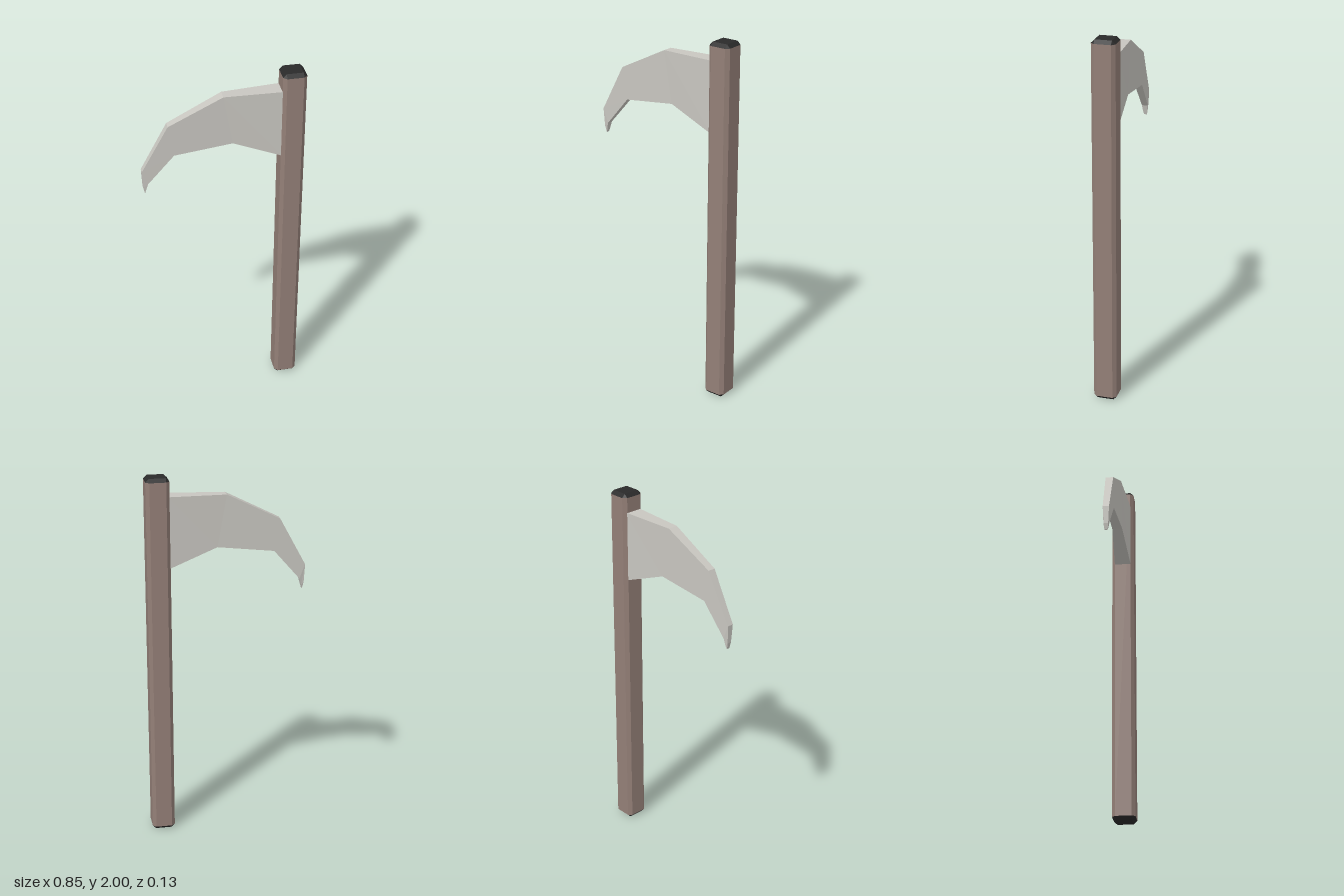
import * as THREE from 'three';

// Skins a list of rings; each ring runs counter-clockwise seen from the far end.
function loft(rings, capStart, capEnd) {
  const pos = [];
  const tri = (a, b, c) => pos.push(...a, ...b, ...c);
  for (let r = 0; r < rings.length - 1; r++) {
    const a = rings[r], b = rings[r + 1], n = a.length;
    for (let i = 0; i < n; i++) {
      const j = (i + 1) % n;
      tri(a[i], a[j], b[j]);
      tri(a[i], b[j], b[i]);
    }
  }
  const first = rings[0], last = rings[rings.length - 1];
  for (let i = 1; i < first.length - 1; i++) {
    if (capStart) tri(first[0], first[i + 1], first[i]);
    if (capEnd) tri(last[0], last[i], last[i + 1]);
  }
  const geo = new THREE.BufferGeometry();
  geo.setAttribute('position', new THREE.Float32BufferAttribute(pos, 3));
  geo.computeVertexNormals();
  return geo;
}

// Rectangle with cut corners at height y; "out" is how far the sides stand proud.
function handleRing(y, out) {
  const cx = 0.362, w = 0.0435, d = 0.0445, ring = [];
  for (const [sx, sz, xFirst] of [[1, 1, 0], [1, -1, 1], [-1, -1, 0], [-1, 1, 1]]) {
    const wide = [cx + sx * (w + out), y, sz * d];
    const deep = [cx + sx * w, y, sz * (d + out)];
    ring.push(...(xFirst ? [wide, deep] : [deep, wide]));
  }
  return ring;
}

export function createModel() {
  const model = new THREE.Group();
  const material = (name, color) => {
    const m = new THREE.MeshStandardMaterial({ color, flatShading: true });
    m.name = name;
    return m;
  };
  const wood = material('wood', 0x937f77);
  const steel = material('steel', 0xc8c6c0);
  const black = material('black', 0x2a2a2a);
  const add = (name, geo, mat) => {
    const mesh = new THREE.Mesh(geo, mat);
    mesh.name = name;
    model.add(mesh);
  };

  // Handle with bevelled dark ends
  const bevel = 0.0185;
  add('handle', loft([handleRing(bevel, bevel), handleRing(2 - bevel, bevel)]), wood);
  add('bottomCap', loft([handleRing(0, 0), handleRing(bevel, bevel)], true, false), black);
  add('topCap', loft([handleRing(2 - bevel, bevel), handleRing(2, 0)], false, true), black);

  // Curved blade: back x, back y, edge x, edge y, half thickness
  const sections = [
    [0.31, 1.9, 0.31, 1.515, 0.046],
    [0, 1.895, 0.05, 1.615, 0.028],
    [-0.285, 1.75, -0.255, 1.575, 0.021],
    [-0.425, 1.49, -0.395, 1.412, 0.017],
    [-0.42, 1.39, -0.405, 1.373, 0.012],
    [-0.412, 1.355, -0.41, 1.355, 0.008],
  ].map(([bx, by, ex, ey, t]) => [[ex, ey, t], [bx, by, t], [bx, by, -t], [ex, ey, -t]]);
  add('blade', loft(sections, true, true), steel);

  return model;
}
